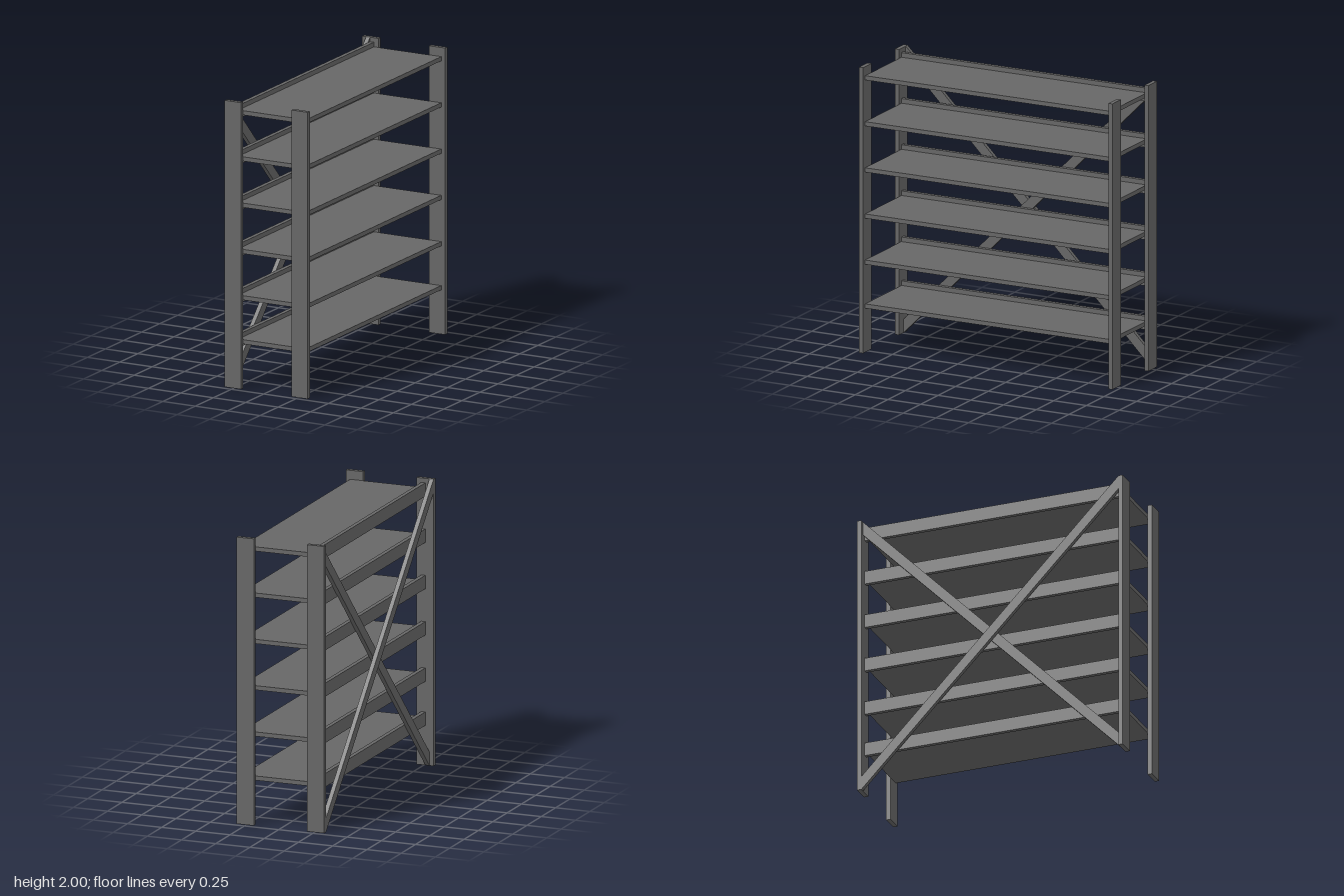
import * as THREE from 'three';

export function createModel() {
  const model = new THREE.Group();
  model.name = 'shelvingRack';
  const steel = new THREE.MeshStandardMaterial({ color: 0x666666 });
  steel.name = 'dark grey steel';

  // Box given by its limits on each axis
  function bar(name, [x0, x1], [y0, y1], [z0, z1]) {
    const geometry = new THREE.BoxGeometry(x1 - x0, y1 - y0, z1 - z0);
    const mesh = new THREE.Mesh(geometry, steel);
    mesh.position.set((x0 + x1) / 2, (y0 + y1) / 2, (z0 + z1) / 2);
    mesh.name = name;
    model.add(mesh);
    return mesh;
  }

  const inner = 0.937, outer = 0.968, span = [-inner, inner];

  // Four flat corner posts
  for (const [end, z] of [['front', [inner, outer]], ['back', [-outer, -inner]]]) {
    bar(end + 'LeftPost', [0.195, 0.32], [0, 2], z);
    bar(end + 'RightPost', [-0.32, -0.195], [0, 2], z);
  }

  // Shelves, each with a taller rail along the braced side
  [0.324, 0.631, 0.954, 1.277, 1.6, 1.922].forEach((y, i) => {
    bar('shelf' + (i + 1), [-0.23, 0.29], [y - 0.015, y + 0.015], span);
    bar('rail' + (i + 1), [-0.26, -0.23], [y - 0.047, y + 0.047], span);
  });

  // Crossed braces: level bars sheared so that their ends meet the posts upright
  const width = 0.096, slope = (2 - width) / (2 * inner);
  for (const [name, x, sign] of [['outerBrace', -0.32, 1], ['innerBrace', -0.29, -1]]) {
    const brace = bar(name, [x, x + 0.03], [1 - width / 2, 1 + width / 2], span);
    const p = brace.geometry.attributes.position;
    for (let i = 0; i < p.count; i++) p.setY(i, p.getY(i) + sign * slope * p.getZ(i));
    brace.geometry.computeVertexNormals();
  }

  return model;
}
